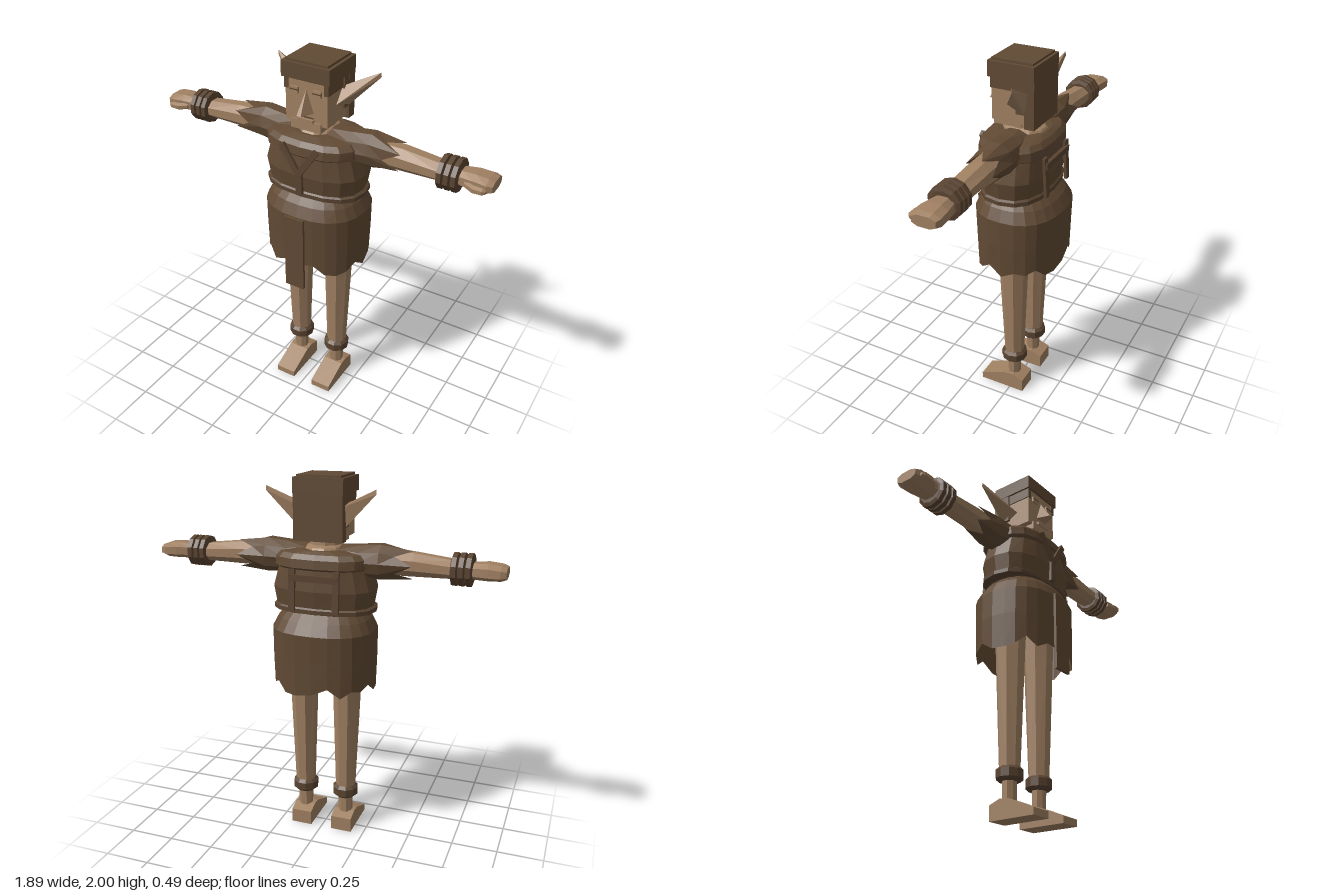
import * as THREE from 'three';

const mat = (name, color, extra) => {
  const m = new THREE.MeshStandardMaterial({ color, ...extra });
  m.name = name;
  return m;
};

// Faceted loft up the y axis; each section is [y, cx, cz, rx, rz]. shift(j, i) offsets a ring point in y.
function loft(sections, n, { p = 2, caps = true, shift = () => 0, turn = 0 } = {}) {
  const sp = v => Math.sign(v) * Math.abs(v) ** (2 / p);
  const rings = sections.map(([y, cx, cz, rx, rz], i) => Array.from({ length: n }, (_, j) => {
    const t = (j + turn) / n * Math.PI * 2;
    return [cx + rx * sp(Math.cos(t)), y + shift(j, i), cz - rz * sp(Math.sin(t))];
  }));
  const out = [];
  for (let i = 0; i + 1 < rings.length; i++) for (let j = 0; j < n; j++) {
    const k = (j + 1) % n, a = rings[i], b = rings[i + 1];
    out.push(...a[j], ...a[k], ...b[k], ...a[j], ...b[k], ...b[j]);
  }
  if (caps) {
    const a = rings[0], b = rings[rings.length - 1];
    for (let j = 1; j + 1 < n; j++) out.push(...a[0], ...a[j + 1], ...a[j], ...b[0], ...b[j], ...b[j + 1]);
  }
  return flat(out);
}

function flat(points) {
  const g = new THREE.BufferGeometry();
  g.setAttribute('position', new THREE.Float32BufferAttribute(points, 3));
  g.computeVertexNormals();
  return g;
}

// Triangles from a few corners and face indices
const facets = (pts, faces) => flat(faces.flatMap(f => f.flatMap(i => pts[i])));

function box(x0, x1, y0, y1, z0, z1) {
  return new THREE.BoxGeometry(x1 - x0, y1 - y0, z1 - z0)
    .translate((x0 + x1) / 2, (y0 + y1) / 2, (z0 + z1) / 2);
}

// Flat band between two points, facing front or back
function band(a, b, width, depth) {
  const A = new THREE.Vector3(...a), B = new THREE.Vector3(...b);
  const dir = B.clone().sub(A), len = dir.length();
  dir.normalize();
  const side = new THREE.Vector3().crossVectors(dir, new THREE.Vector3(0, 0, 1)).normalize();
  const m = new THREE.Matrix4().makeBasis(side, dir, new THREE.Vector3().crossVectors(side, dir));
  m.setPosition(A.add(B).multiplyScalar(0.5));
  return new THREE.BoxGeometry(width, len, depth).applyMatrix4(m);
}

// Mirror across x, keeping faces outward
function mirrored(geo) {
  const g = geo.index ? geo.toNonIndexed() : geo.clone();
  const p = g.attributes.position.array;
  for (let i = 0; i < p.length; i += 9) {
    for (let k = 0; k < 3; k++) [p[i + 3 + k], p[i + 6 + k]] = [p[i + 6 + k], p[i + 3 + k]];
    for (let k = 0; k < 9; k += 3) p[i + k] *= -1;
  }
  g.computeVertexNormals();
  return g;
}

export function createModel() {
  const root = new THREE.Group();
  const skin = mat('skin', 0xa08062, { flatShading: true });
  const cloth = mat('brown cloth', 0x614a34, { flatShading: true });
  const ragged = mat('ragged cloth', 0x614a34, { flatShading: true, side: THREE.DoubleSide });
  const leather = mat('leather', 0x5a4431, { flatShading: true });
  const add = (name, geo, m) => {
    const mesh = new THREE.Mesh(geo, m);
    mesh.name = name;
    root.add(mesh);
  };
  const pair = (name, geo, m) => {
    add(name + 'Left', geo, m);
    add(name + 'Right', mirrored(geo), m);
  };

  // Tunic, yoke and belt
  add('tunic', loft([[1.28, 0, 0, 0.22, 0.165], [1.33, 0, 0, 0.265, 0.17], [1.42, 0, 0, 0.28, 0.185],
    [1.54, 0, 0, 0.245, 0.175]], 16, { p: 2.5 }), cloth);
  add('yoke', loft([[1.53, 0, 0, 0.25, 0.18], [1.54, 0, 0, 0.265, 0.19], [1.585, 0, 0, 0.265, 0.185],
    [1.61, 0, 0, 0.24, 0.165], [1.625, 0, -0.01, 0.13, 0.13]], 16, { p: 2.7 }), cloth);
  add('belt', loft([[1.295, 0, 0, 0.265, 0.165], [1.3, 0, 0, 0.28, 0.178], [1.322, 0, 0, 0.28, 0.178],
    [1.33, 0, 0, 0.268, 0.17]], 16, { p: 2.5 }), leather);

  // Skirt with a torn hem
  const hem = [0, 0.05, 0.01, 0.035, 0.0, 0.05, 0.025, -0.005];
  add('skirt', loft([[0.865, 0, -0.008, 0.275, 0.228], [1.05, 0, -0.008, 0.28, 0.232], [1.2, 0, -0.008, 0.28, 0.237],
    [1.26, 0, -0.004, 0.25, 0.205], [1.305, 0, 0, 0.215, 0.165]], 24,
  { p: 2.4, caps: false, shift: (j, i) => i ? 0 : hem[(j * 3) % 8] }), ragged);
  add('frontFlap', box(-0.058, 0.055, 0.765, 1.2, 0.233, 0.248), cloth);

  // Harness
  pair('chestStrap', band([0.1, 1.585, 0.188], [0.005, 1.445, 0.195], 0.032, 0.016), leather);
  add('centreStrap', band([0, 1.46, 0.19], [0, 1.32, 0.186], 0.036, 0.016), leather);
  pair('backStrap', band([0.12, 1.535, -0.182], [0.12, 1.32, -0.195], 0.034, 0.016), leather);
  add('backBar', box(-0.13, 0.13, 1.475, 1.508, -0.2, -0.18), leather);

  // Neck, head and face
  add('neck', loft([[1.6, 0, -0.01, 0.12, 0.14], [1.635, 0, -0.01, 0.1, 0.11], [1.645, 0, -0.01, 0.085, 0.08],
    [1.7, 0, -0.01, 0.08, 0.075]], 10), skin);
  add('head', box(-0.118, 0.118, 1.685, 1.95, -0.1, 0.113), skin);
  add('chin', box(-0.085, 0.085, 1.65, 1.7, -0.03, 0.122), skin);
  add('lips', box(-0.045, 0.045, 1.697, 1.714, 0.1, 0.13), skin);
  add('mouth', box(-0.04, 0.04, 1.716, 1.722, 0.1, 0.118), leather);
  add('nose', facets([[0, 1.865, 0.112], [-0.042, 1.745, 0.112], [0.042, 1.745, 0.112],
    [-0.012, 1.75, 0.185], [0.012, 1.75, 0.185]],
  [[0, 1, 3], [0, 3, 4], [0, 4, 2], [1, 2, 4], [1, 4, 3]]), skin);
  pair('eye', box(0.042, 0.086, 1.836, 1.868, 0.1, 0.124), skin);
  pair('eyelid', box(0.04, 0.088, 1.852, 1.857, 0.12, 0.127), leather);
  pair('ear', facets([[0.11, 1.85, -0.03], [0.11, 1.77, 0.035], [0.11, 1.72, -0.07],
    [0.293, 1.938, -0.09], [0.295, 1.915, -0.092], [0.11, 1.84, -0.09]],
  [[0, 1, 3], [1, 4, 3], [1, 2, 4], [2, 5, 4], [5, 3, 4], [5, 0, 3]]), skin);

  // Blocky hair
  add('hairCap', box(-0.135, 0.135, 1.908, 1.988, -0.126, 0.126), cloth);
  add('hairCrown', box(-0.118, 0.118, 1.985, 2.0, -0.112, 0.112), cloth);
  add('hairBack', box(-0.133, 0.133, 1.67, 1.91, -0.126, -0.072), cloth);
  pair('hairSide', box(0.1, 0.132, 1.74, 1.91, -0.08, -0.025), cloth);
  pair('sideburn', box(0.1, 0.124, 1.85, 1.91, -0.03, 0.117), cloth);

  // Arms are lofted upright, then laid along +x at shoulder height
  const arm = (sections, n, opt) => loft(sections, n, opt).rotateZ(-Math.PI / 2).translate(0, 1.56, 0);
  pair('sleeve', arm([[0.09, -0.04, 0, 0.045, 0.08], [0.2, -0.01, -0.01, 0.085, 0.095],
    [0.31, -0.012, -0.015, 0.094, 0.092], [0.47, -0.008, -0.012, 0.075, 0.076]], 10,
  { caps: false, turn: 0.5, shift: (j, i) => i === 3 ? (j % 2 ? -0.08 : 0.01) : 0 }), ragged);
  pair('forearm', arm([[0.28, -0.012, -0.012, 0.068, 0.075], [0.48, -0.01, -0.012, 0.064, 0.07],
    [0.68, 0, -0.012, 0.05, 0.066], [0.8, 0, -0.014, 0.042, 0.06]], 8, { turn: 0.5 }), skin);
  for (const x of [0.688, 0.724, 0.76]) {
    pair('bracelet', arm([[x - 0.018, 0, -0.012, 0.065, 0.07], [x - 0.012, 0, -0.012, 0.085, 0.088],
      [x + 0.012, 0, -0.012, 0.085, 0.088], [x + 0.018, 0, -0.012, 0.065, 0.07]], 10), leather);
  }
  pair('hand', arm([[0.78, 0, -0.014, 0.042, 0.06], [0.85, -0.002, -0.016, 0.045, 0.074],
    [0.915, 0, -0.016, 0.04, 0.078], [0.943, 0, -0.018, 0.03, 0.066]], 8, { p: 2.6, turn: 0.5 }), skin);
  pair('thumb', arm([[0.81, 0.005, 0.04, 0.016, 0.02], [0.86, 0.01, 0.062, 0.02, 0.022],
    [0.905, 0.01, 0.064, 0.018, 0.02], [0.92, 0.01, 0.06, 0.01, 0.012]], 6), skin);

  // Legs, ankle cuffs and wedge feet
  pair('leg', loft([[0.06, 0.122, -0.006, 0.04, 0.036], [0.21, 0.122, -0.006, 0.042, 0.038],
    [0.26, 0.122, -0.006, 0.056, 0.056], [0.9, 0.125, -0.006, 0.078, 0.083],
    [1.2, 0.12, -0.006, 0.09, 0.095]], 8, { turn: 0.5 }), skin);
  pair('ankleCuff', loft([[0.195, 0.121, -0.006, 0.055, 0.055], [0.21, 0.121, -0.006, 0.072, 0.072],
    [0.252, 0.121, -0.006, 0.072, 0.072], [0.268, 0.121, -0.006, 0.055, 0.055]], 10), leather);
  const side = new THREE.Shape([[-0.185, 0], [0.085, 0], [0.085, 0.08], [0.02, 0.104], [-0.03, 0.1], [-0.185, 0.036]]
    .map(([u, v]) => new THREE.Vector2(u, v)));
  pair('foot', new THREE.ExtrudeGeometry(side, { depth: 0.118, bevelEnabled: false })
    .rotateY(Math.PI / 2).translate(0.062, 0, 0), skin);

  return root;
}
